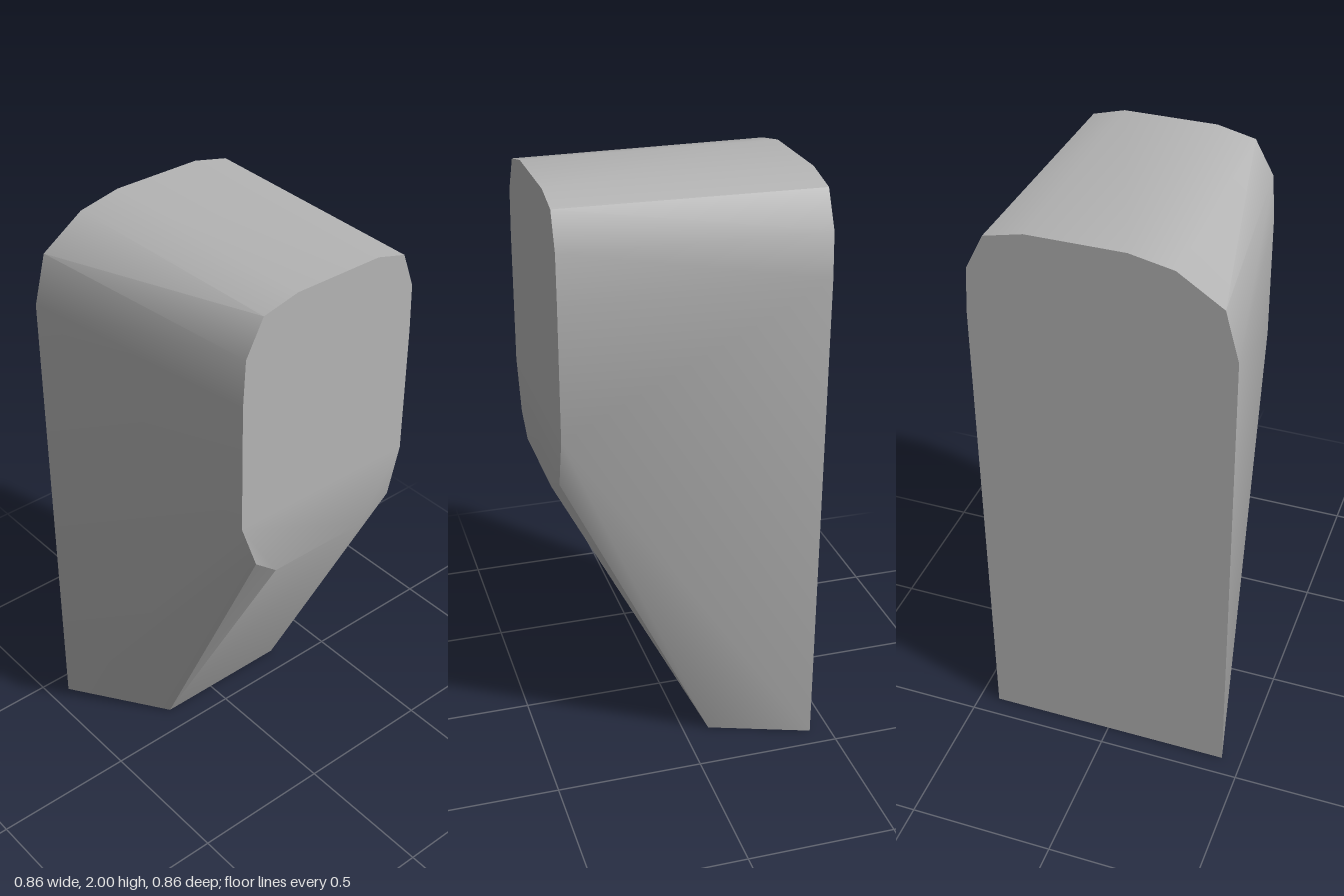
import * as THREE from 'three';
import { ConvexGeometry } from 'three/addons/geometries/ConvexGeometry.js';
import { toCreasedNormals } from 'three/addons/utils/BufferGeometryUtils.js';

// Outline of the small front face (x, y)
const FRONT = [
  [-0.295, 1.24], [-0.295, 1.69], [-0.285, 1.85], [-0.22, 1.97], [-0.09, 2],
  [0.23, 2], [0.34, 1.97], [0.385, 1.85], [0.39, 1.69], [0.39, 1.24],
  [0.345, 1.07], [0.22, 1], [-0.15, 1], [-0.235, 1.07],
];

// Outline of the large back face (x, y)
const BACK = [
  [-0.43, 0], [-0.43, 1.7], [-0.385, 1.87], [-0.235, 1.97], [-0.09, 2],
  [0.23, 2], [0.36, 1.97], [0.42, 1.85], [0.43, 1.7], [0.43, 0],
];

// Front edge of the foot, where the sloping underside meets the ground (x, y)
const FOOT = [[-0.2, 0], [0.31, 0]];

const section = (outline, z) => outline.map(([x, y]) => new THREE.Vector3(x, y, z));

export function createModel() {
  const stone = new THREE.MeshStandardMaterial({ color: 0xb4b4b4 });
  stone.name = 'stone grey';

  // Convex block stretched over the three sections, soft across shallow edges
  const hull = new ConvexGeometry([
    ...section(FRONT, 0.43),
    ...section(FOOT, -0.09),
    ...section(BACK, -0.43),
  ]);
  const block = new THREE.Mesh(toCreasedNormals(hull, Math.PI / 6), stone);
  block.name = 'taperedBlock';

  const model = new THREE.Group();
  model.name = 'taperedBlockModel';
  model.add(block);
  return model;
}
